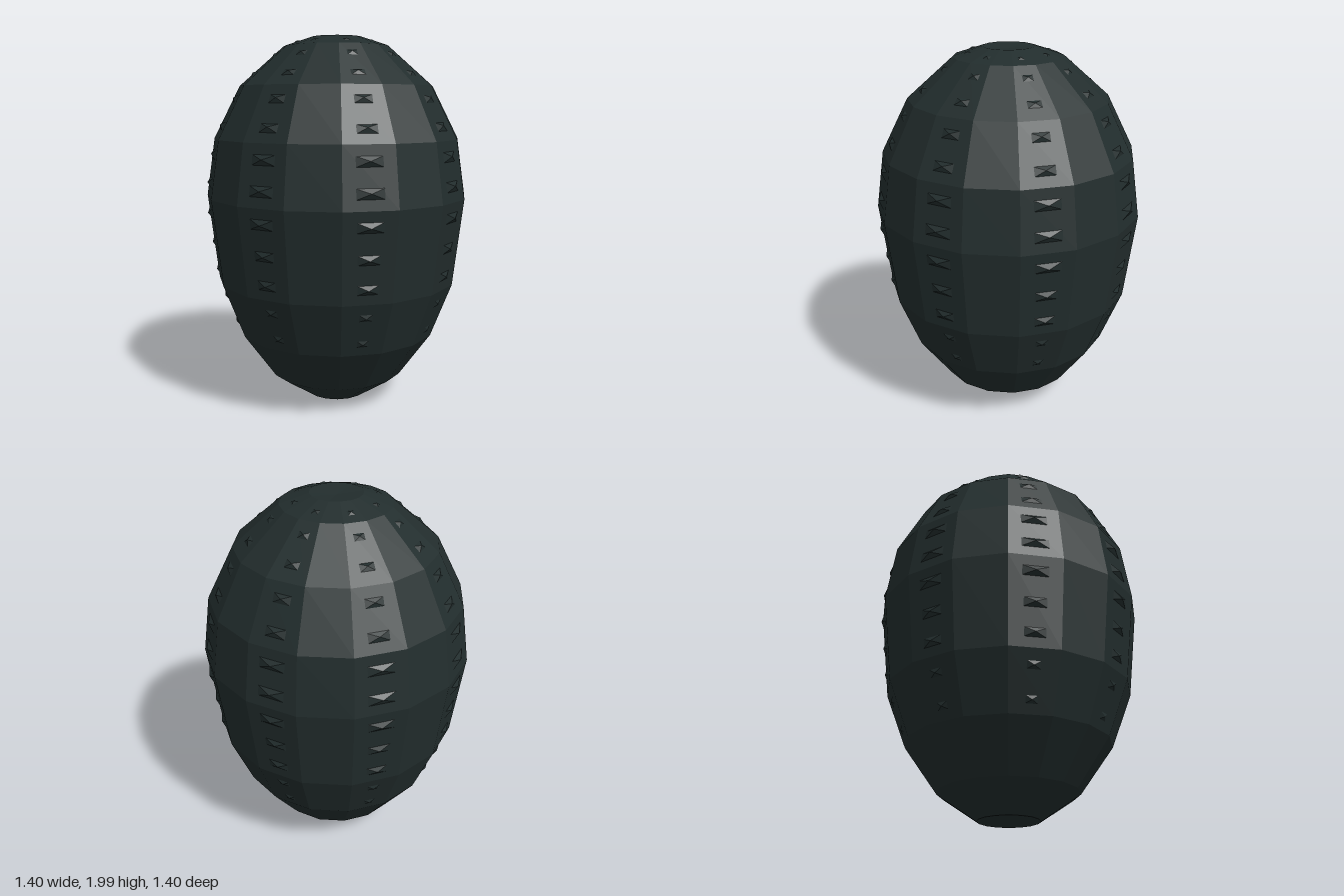
import * as THREE from 'three';

const SIDES = 16;
// distance from the axis to the middle of a facet, and height
const PROFILE = [
  [0.16, 0.012], [0.363, 0.15], [0.535, 0.395], [0.645, 0.685], [0.7, 1.15],
  [0.655, 1.46], [0.515, 1.74], [0.28, 1.95], [0.133, 2.0],
];
// height and width of each bump along one column
const BUMPS = [
  [0.46, 0.07], [0.61, 0.08], [0.76, 0.12], [0.91, 0.13], [1.07, 0.15], [1.23, 0.155],
  [1.38, 0.15], [1.53, 0.12], [1.67, 0.105], [1.8, 0.085], [1.9, 0.065], [1.972, 0.045],
];

// radius and outward slope of the shell at a height
function shellAt(y) {
  const i = Math.max(1, PROFILE.findIndex((p) => p[1] >= y));
  const [r0, y0] = PROFILE[i - 1];
  const [r1, y1] = PROFILE[i];
  const r = r0 + ((r1 - r0) * (y - y0)) / (y1 - y0);
  const len = Math.hypot(r1 - r0, y1 - y0);
  return { r, out: (y1 - y0) / len, up: (r0 - r1) / len };
}

export function createModel() {
  const group = new THREE.Group();
  group.name = 'studdedEgg';
  const shellMaterial = new THREE.MeshStandardMaterial({ color: 0x222d2d, flatShading: true });
  shellMaterial.name = 'darkGreenGrey';

  // faceted shell with shallow hollows at both ends
  const k = 1 / Math.cos(Math.PI / SIDES);
  const points = [
    new THREE.Vector2(0, 0.02),
    ...PROFILE.map(([r, y]) => new THREE.Vector2(r * k, y)),
    new THREE.Vector2(0, 1.985),
  ];
  const shell = new THREE.Mesh(new THREE.LatheGeometry(points, SIDES, Math.PI / SIDES), shellMaterial);
  shell.name = 'shell';
  group.add(shell);

  // four-sided bump of unit width, height and depth
  const bumpGeometry = new THREE.ConeGeometry(Math.SQRT1_2, 1, 4, 1, true);
  bumpGeometry.rotateY(Math.PI / 4);
  bumpGeometry.translate(0, 0.5, 0);

  // eight columns of bumps on every second facet
  for (let c = 0; c < 8; c++) {
    const a = Math.PI / 8 + (c * Math.PI) / 4;
    const column = new THREE.Group();
    column.name = 'bumpColumn' + (c + 1);
    for (const [y, width] of BUMPS) {
      const { r, out, up } = shellAt(y);
      const normal = new THREE.Vector3(Math.sin(a) * out, up, Math.cos(a) * out);
      const across = new THREE.Vector3(Math.cos(a), 0, -Math.sin(a));
      const along = new THREE.Vector3().crossVectors(across, normal);
      const bump = new THREE.Mesh(bumpGeometry, shellMaterial);
      bump.name = 'bump';
      bump.quaternion.setFromRotationMatrix(new THREE.Matrix4().makeBasis(across, normal, along));
      bump.position.set(Math.sin(a) * r, y, Math.cos(a) * r).addScaledVector(normal, -0.002);
      bump.scale.set(width, 0.004 + width * 0.11, 0.035 + width * 0.15);
      column.add(bump);
    }
    group.add(column);
  }
  return group;
}
